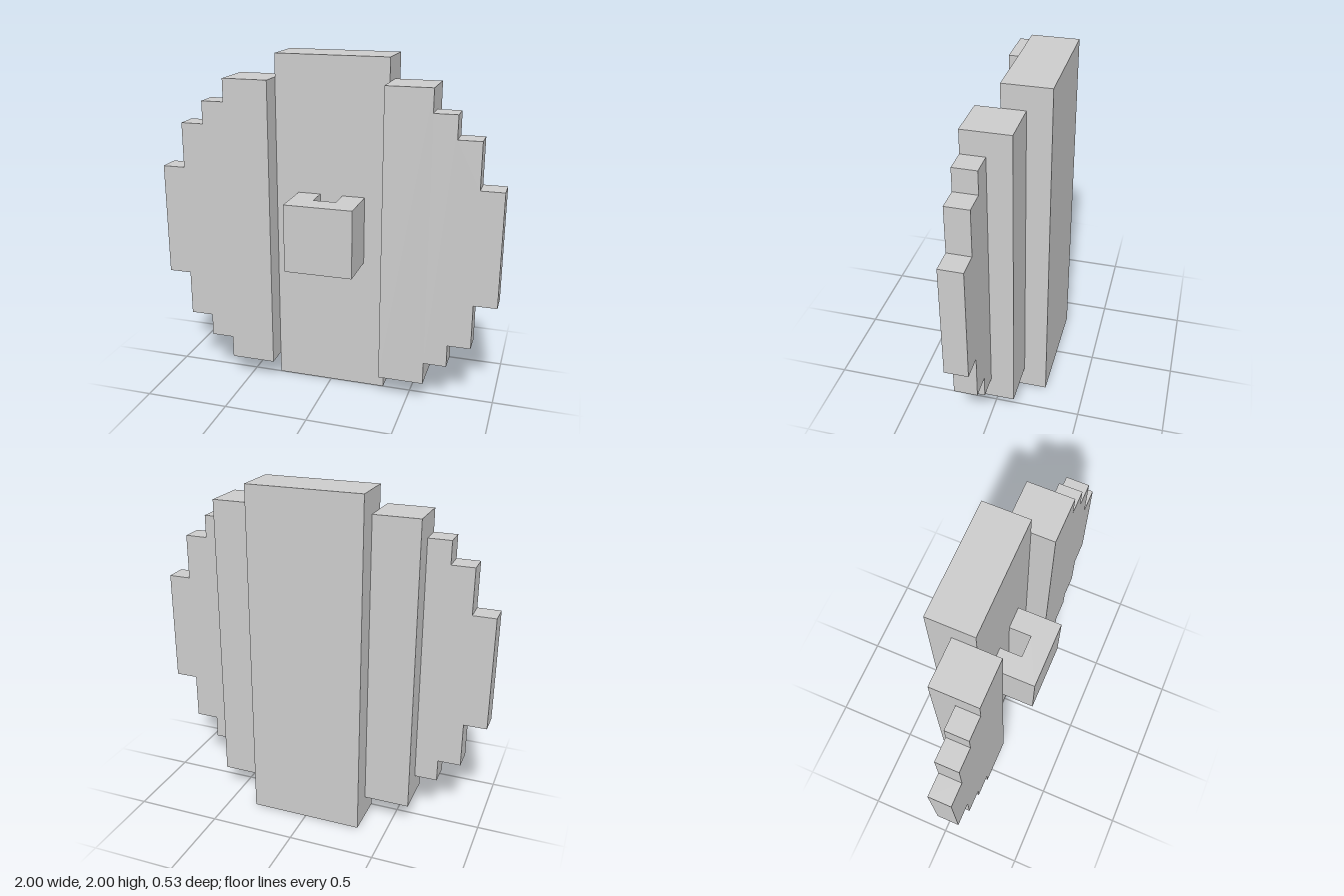
import * as THREE from 'three';

const U = 2 / 15; // block unit
const material = new THREE.MeshStandardMaterial({ color: 0xcccccc, flatShading: true });

function add(parent, name, geometry) {
  const mesh = new THREE.Mesh(geometry, material);
  mesh.name = name;
  parent.add(mesh);
  return mesh;
}

// Box given by its extents in block units
function box(x0, x1, y0, y1, z0, z1) {
  return new THREE.BoxGeometry((x1 - x0) * U, (y1 - y0) * U, (z1 - z0) * U)
    .translate((x0 + x1) / 2 * U, (y0 + y1) / 2 * U, (z0 + z1) / 2 * U);
}

// Extruded outline in block units
function extrude(points, depth) {
  const shape = new THREE.Shape(points.map(([x, y]) => new THREE.Vector2(x * U, y * U)));
  return new THREE.ExtrudeGeometry(shape, { depth: depth * U, bevelEnabled: false });
}

// Stepped outer rim: each step is [inner x, outer x, half height]
function rimOutline(side) {
  const steps = [[4.5, 5.5, 5.5], [5.5, 6.5, 4.5], [6.5, 7.5, 2.5]];
  const upper = steps.flatMap(([a, b, h]) => [[side * a, 7.5 + h], [side * b, 7.5 + h]]);
  const lower = upper.map(([x, y]) => [x, 15 - y]).reverse();
  return [...upper, ...lower];
}

export function createModel() {
  const model = new THREE.Group();
  model.name = 'roundShield';

  // Thick recessed centre board
  add(model, 'centerBoard', box(-2.5, 2.5, 0, 15, -2, 0));

  // Side boards with their stepped rims
  for (const [label, side] of [['left', 1], ['right', -1]]) {
    const wing = new THREE.Group();
    wing.name = label + 'Wing';
    const [x0, x1] = side > 0 ? [2.5, 4.5] : [-4.5, -2.5];
    add(wing, label + 'SideBoard', box(x0, x1, 1, 14, -1, 1));
    add(wing, label + 'SteppedRim', extrude(rimOutline(side), 1));
    model.add(wing);
  }

  // U-shaped handle, open from top to bottom against the centre board
  const handleOutline = [
    [-1.5, 0], [-1.5, -2], [1.5, -2], [1.5, 0],
    [0.5, 0], [0.5, -1], [-0.5, -1], [-0.5, 0],
  ];
  add(model, 'handle', extrude(handleOutline, 3).rotateX(-Math.PI / 2).translate(0, 6 * U, 0));

  return model;
}
